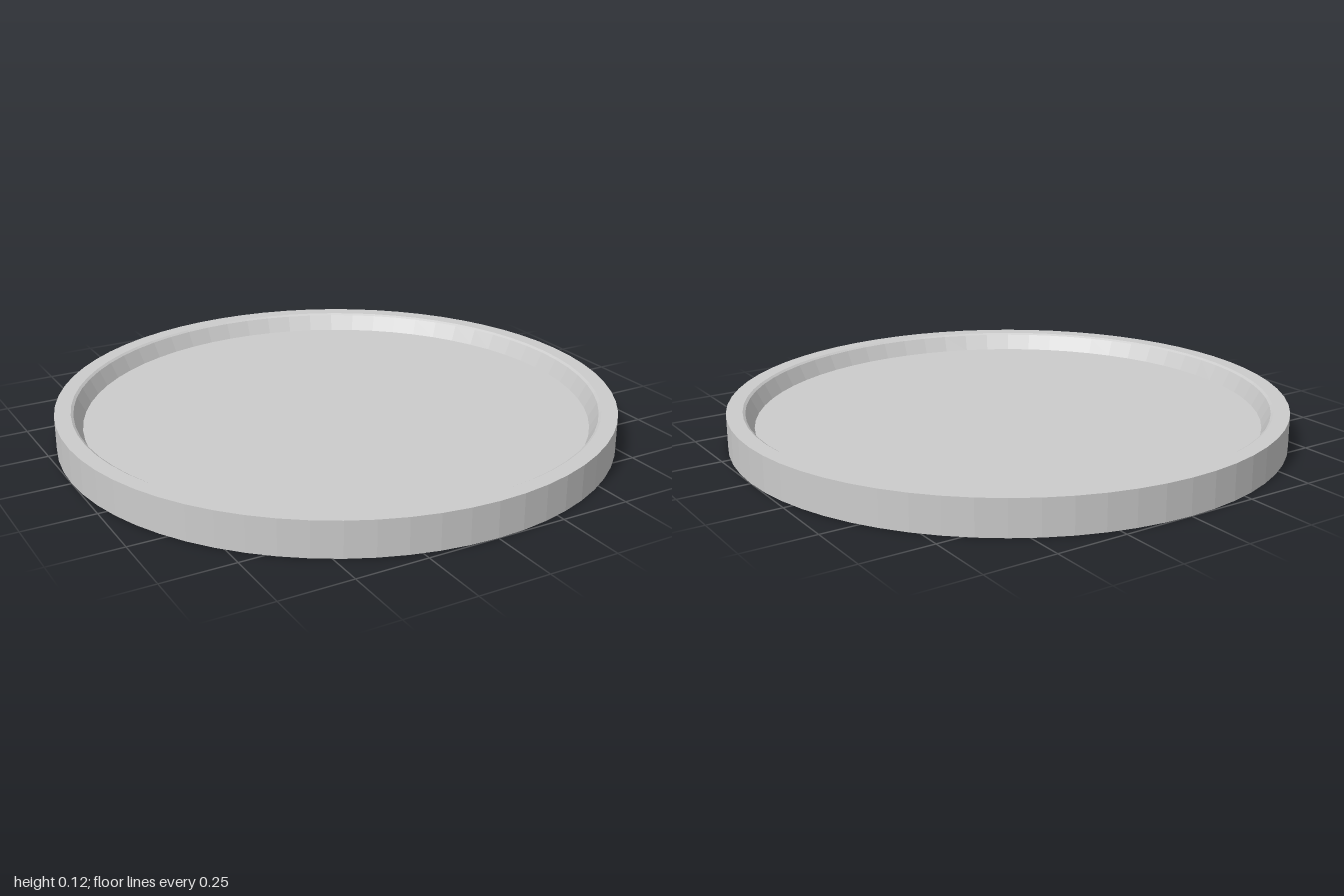
import * as THREE from 'three';

const SEGMENTS = 64;

export function createModel() {
  const group = new THREE.Group();
  group.name = 'roundTray';
  const material = new THREE.MeshStandardMaterial({
    color: 0xcccccc, flatShading: true, side: THREE.DoubleSide,
  });

  // Thin sheet spun about y from [radius, height] points
  const spin = (name, points) => {
    const profile = points.map(([r, y]) => new THREE.Vector2(r, y));
    const mesh = new THREE.Mesh(new THREE.LatheGeometry(profile, SEGMENTS), material);
    mesh.name = name;
    group.add(mesh);
  };

  // Outer skirt, open underneath
  spin('outerWall', [[1, 0], [1, 0.125]]);
  // Flat lip, small bevel and sloped inner wall down to the floor
  spin('rim', [[1, 0.125], [0.943, 0.125], [0.934, 0.119], [0.905, 0.0625]]);

  // Floor disc, raised above the bottom edge
  const floor = new THREE.Mesh(new THREE.CircleGeometry(0.905, SEGMENTS), material);
  floor.name = 'floor';
  floor.rotation.x = -Math.PI / 2;
  floor.position.y = 0.0625;
  group.add(floor);

  return group;
}
